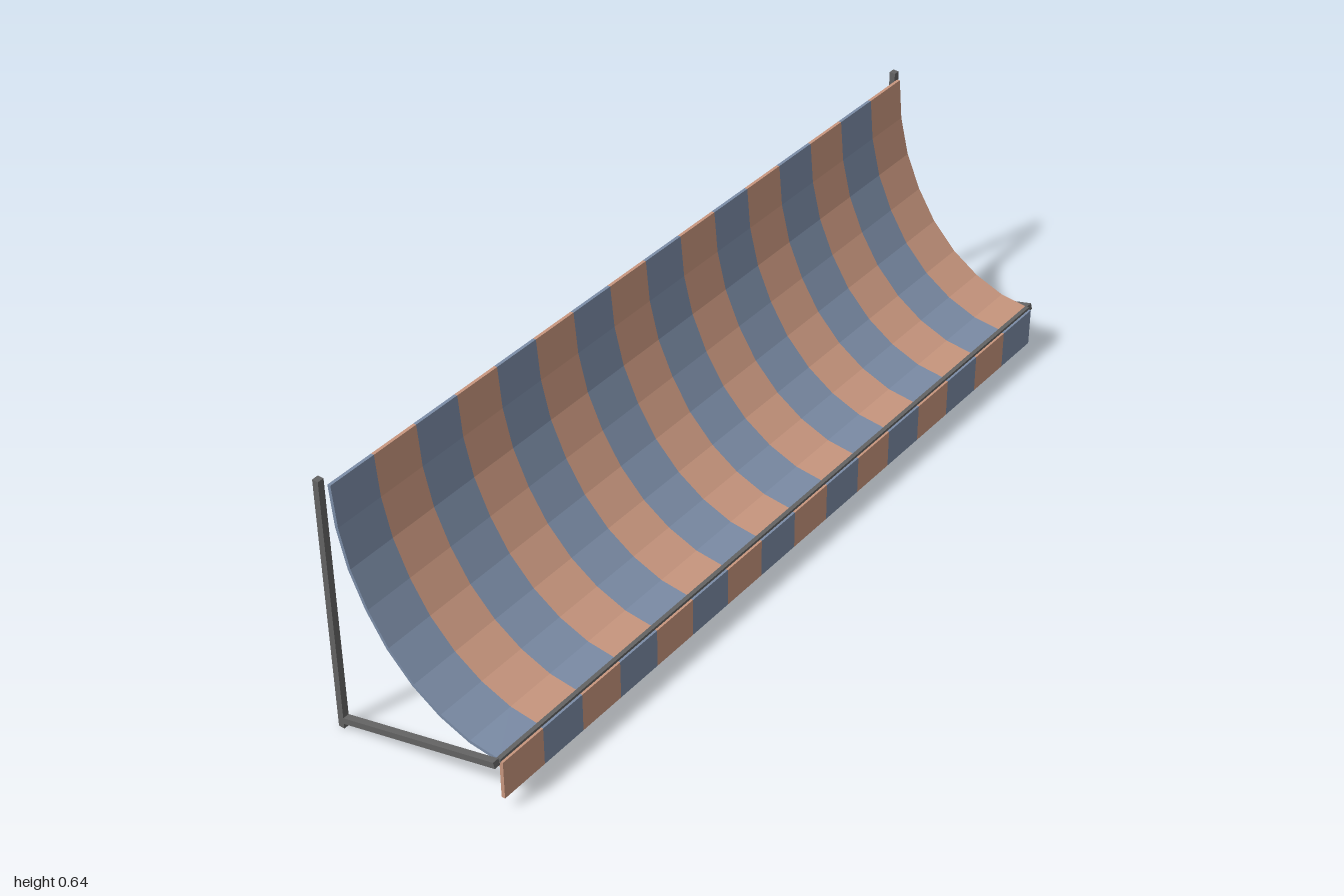
import * as THREE from 'three';

const mat = (name, color) => {
  const m = new THREE.MeshStandardMaterial({ color });
  m.name = name;
  return m;
};

// Closed cross-section of constant thickness around an open polyline
function thickProfile(points, thickness) {
  const sideA = [], sideB = [];
  points.forEach((p, i) => {
    const a = points[Math.max(i - 1, 0)], b = points[Math.min(i + 1, points.length - 1)];
    const n = new THREE.Vector2(-(b.y - a.y), b.x - a.x).setLength(thickness / 2);
    sideA.push(p.clone().add(n));
    sideB.unshift(p.clone().sub(n));
  });
  return new THREE.Shape([...sideA, ...sideB]);
}

export function createModel() {
  const blue = mat('blueFabric', 0x7b8ca6);
  const orange = mat('orangeFabric', 0xc8967e);
  const metal = mat('darkMetal', 0x636363);
  const model = new THREE.Group();
  model.name = 'awning';

  const add = (name, geometry, material, x = 0, y = 0, z = 0) => {
    const mesh = new THREE.Mesh(geometry, material);
    mesh.name = name;
    mesh.position.set(x, y, z);
    model.add(mesh);
    return mesh;
  };

  // Striped canopy and hanging valance, in opposite colour order
  const curve = [
    [-0.191, 0.626], [-0.182, 0.526], [-0.159, 0.433], [-0.121, 0.348], [-0.073, 0.273],
    [-0.011, 0.21], [0.057, 0.166], [0.132, 0.138], [0.207, 0.13],
  ].map(([x, y]) => new THREE.Vector2(x, y));
  const half = 0.983, count = 16, width = (2 * half) / count;
  const canopyGeo = new THREE.ExtrudeGeometry(thickProfile(curve, 0.008), { depth: width, bevelEnabled: false });
  const valanceGeo = new THREE.BoxGeometry(0.009, 0.096, width);
  for (let i = 0; i < count; i++) {
    const z = -half + i * width;
    add('canopyStripe', canopyGeo, i % 2 ? blue : orange, 0, 0, z);
    add('valanceStripe', valanceGeo, i % 2 ? orange : blue, 0.212, 0.081, z + width / 2);
  }

  // Wall posts and sloping arms at both ends
  const rail = 0.016;
  const start = new THREE.Vector2(-0.205, 0.02), end = new THREE.Vector2(0.208, 0.129);
  const span = end.clone().sub(start);
  for (const side of [-1, 1]) {
    const z = side * (1 - rail / 2);
    add('wallPost', new THREE.BoxGeometry(0.015, 0.638, rail), metal, -0.21, 0.319, z);
    const arm = add('supportArm', new THREE.BoxGeometry(span.length(), 0.015, rail), metal,
      (start.x + end.x) / 2, (start.y + end.y) / 2, z);
    arm.rotation.z = span.angle();
  }

  // Slim bar joining the arms along the front edge
  add('frontBar', new THREE.BoxGeometry(0.01, 0.011, 2 * half), metal, 0.206, 0.13, 0);

  return model;
}
